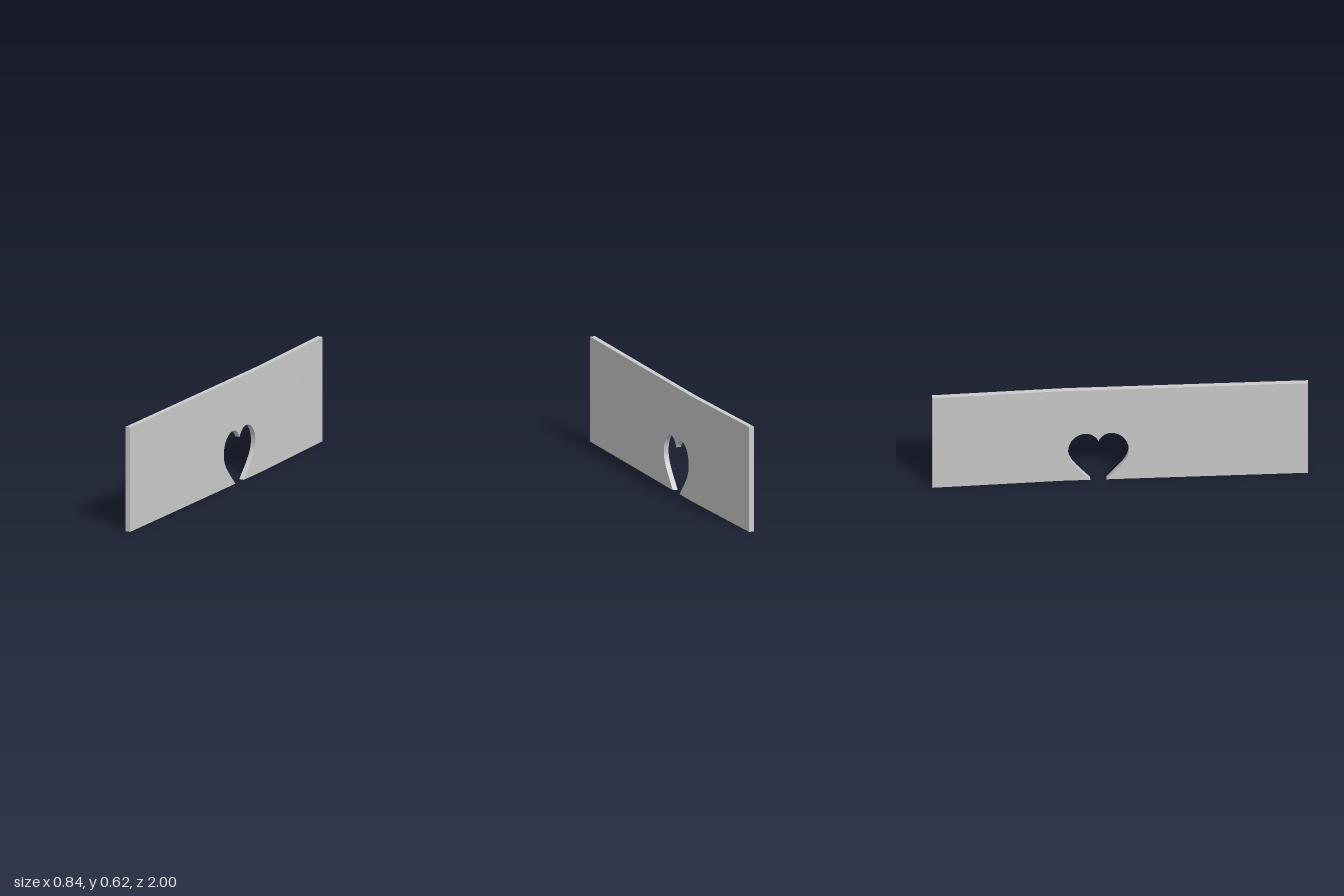
import * as THREE from 'three';
import { mergeGeometries, toCreasedNormals } from 'three/addons/utils/BufferGeometryUtils.js';

const HEIGHT = 0.62, THICKNESS = 0.03;

// Centre line of the wall on the ground (x, z), with a slight bend
const path = [[-0.406, 0.994], [0.136, -0.285], [0.15, -0.32], [0.406, -0.994]]
  .map(([x, z]) => new THREE.Vector2(x, z));

// Sideways direction at each path point, averaged at the bends
const sides = path.map((p, i) => {
  const a = path[Math.max(i - 1, 0)], b = path[Math.min(i + 1, path.length - 1)];
  const t = b.clone().sub(a).normalize();
  return new THREE.Vector2(-t.y, t.x);
});

// Panel outline; the heart cut-out is open at the ground
function panelShape(length, heartAt) {
  const s = new THREE.Shape();
  s.moveTo(0, 0);
  if (heartAt !== undefined) {
    const c = heartAt;
    s.lineTo(c - 0.046, 0);
    s.bezierCurveTo(c - 0.115, 0.08, c - 0.173, 0.13, c - 0.173, 0.2);
    s.bezierCurveTo(c - 0.173, 0.27, c - 0.125, 0.32, c - 0.072, 0.32);
    s.bezierCurveTo(c - 0.04, 0.32, c - 0.012, 0.295, c, 0.265);
    s.bezierCurveTo(c + 0.012, 0.295, c + 0.04, 0.32, c + 0.072, 0.32);
    s.bezierCurveTo(c + 0.125, 0.32, c + 0.173, 0.27, c + 0.173, 0.2);
    s.bezierCurveTo(c + 0.173, 0.13, c + 0.115, 0.08, c + 0.046, 0);
  }
  s.lineTo(length, 0);
  s.lineTo(length, HEIGHT);
  s.lineTo(0, HEIGHT);
  s.closePath();
  return s;
}

// One section of wall between path points i and i + 1
function section(i, heartAt) {
  const length = path[i].distanceTo(path[i + 1]);
  const flat = new THREE.ExtrudeGeometry(panelShape(length, heartAt),
    { depth: THICKNESS, bevelEnabled: false, curveSegments: 14 });
  const src = flat.attributes.position, out = [];
  for (let k = 0; k < src.count; k += 3) {
    const us = [0, 1, 2].map(j => src.getX(k + j));
    // Leave out the end faces hidden inside the joints
    if (i > 0 && us.every(u => u < 1e-5)) continue;
    if (i < path.length - 2 && us.every(u => u > length - 1e-5)) continue;
    us.forEach((u, j) => {
      const f = u / length, d = src.getZ(k + j) - THICKNESS / 2;
      const p = path[i].clone().lerp(path[i + 1], f);
      p.addScaledVector(sides[i].clone().lerp(sides[i + 1], f), d);
      out.push(p.x, src.getY(k + j), p.y);
    });
  }
  const g = new THREE.BufferGeometry();
  g.setAttribute('position', new THREE.Float32BufferAttribute(out, 3));
  return g;
}

export function createModel() {
  const group = new THREE.Group();
  const parts = [section(0, 1.197), section(1), section(2)];
  const wall = new THREE.Mesh(
    toCreasedNormals(mergeGeometries(parts), 0.5),
    new THREE.MeshStandardMaterial({ color: 0xcccccc })
  );
  wall.name = 'wallWithHeartCutout';
  group.add(wall);
  return group;
}
